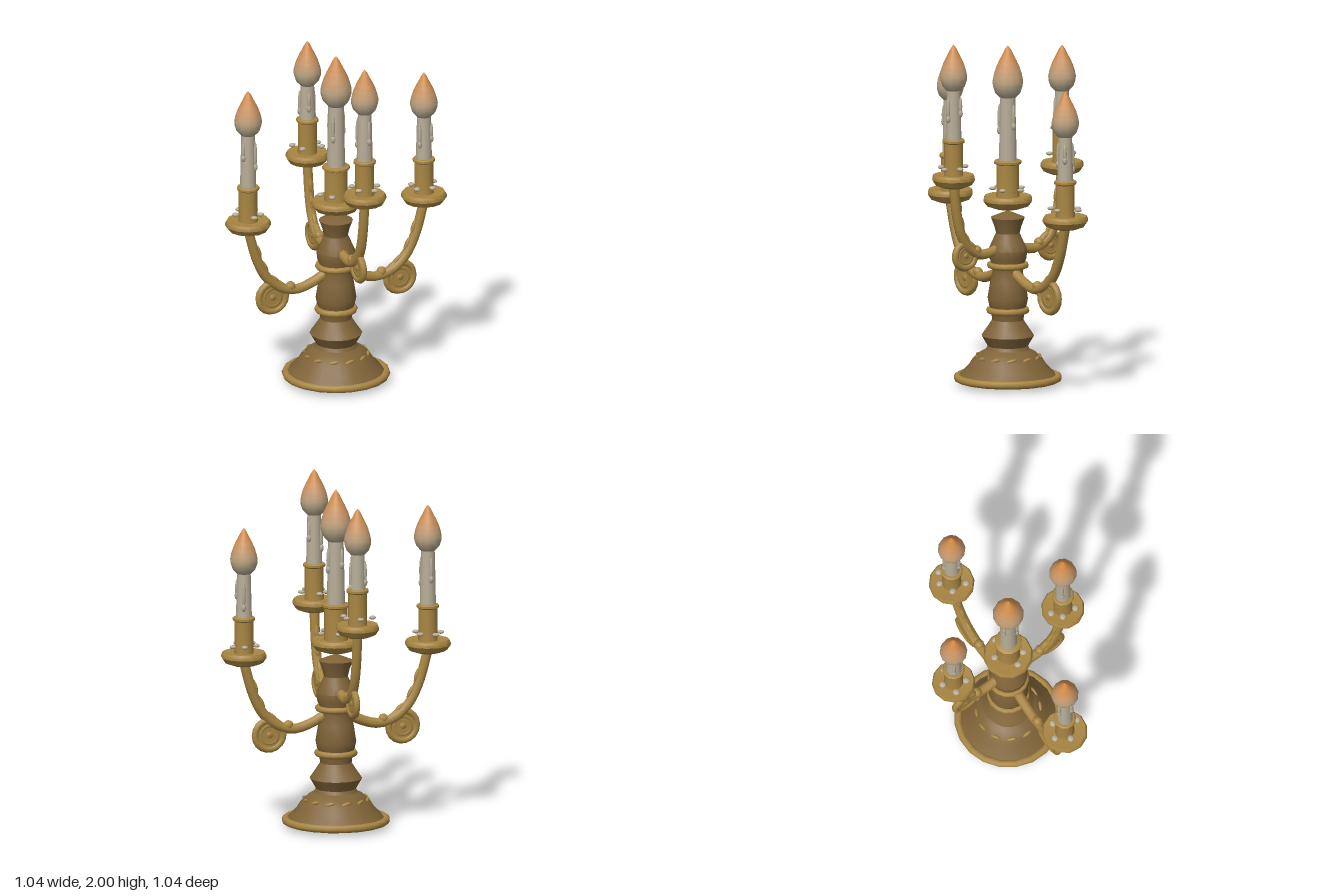
import * as THREE from 'three';
import { toCreasedNormals } from 'three/addons/utils/BufferGeometryUtils.js';

const mat = (color) => new THREE.MeshStandardMaterial({ color });
const BRASS = mat(0xa88642), BRONZE = mat(0x7f6338), WAX = mat(0xb8ae98);
const FLAME_LOW = new THREE.Color(0xb8ac90), FLAME_HIGH = new THREE.Color(0xd28a45);

function add(parent, name, geometry, material, x = 0, y = 0, z = 0) {
  const mesh = new THREE.Mesh(geometry, material);
  mesh.name = name;
  mesh.position.set(x, y, z);
  parent.add(mesh);
  return mesh;
}
const smoothLathe = (pts, sides) =>
  new THREE.LatheGeometry(pts.map(([r, y]) => new THREE.Vector2(r, y)), sides);
const lathe = (pts, sides) => toCreasedNormals(smoothLathe(pts, sides), 0.6);
const blob = (sx, sy, sz) => new THREE.SphereGeometry(1, 8, 6).scale(sx, sy, sz);

function ring(parent, name, y, radius, tube, sides = 16) {
  add(parent, name, new THREE.TorusGeometry(radius, tube, 8, sides).rotateX(Math.PI / 2), BRASS, 0, y);
}

// Teardrop flame, fading from pale wax to orange in bands that share smooth normals
function makeFlame(parent, y, s) {
  const flame = new THREE.Group();
  flame.name = 'flame';
  flame.position.y = y;
  flame.scale.setScalar(s);
  parent.add(flame);
  const profile = [[0, 0], [0.042, 0.006], [0.066, 0.032], [0.077, 0.065], [0.079, 0.09], [0.073, 0.12],
    [0.062, 0.155], [0.046, 0.19], [0.03, 0.22], [0.015, 0.25], [0, 0.27]];
  const whole = smoothLathe(profile, 12);
  const bands = profile.length - 1;
  const index = Array.from(whole.index.array);
  for (let b = 0; b < bands; b++) {
    const band = whole.clone();
    band.setIndex(index.filter((v, i) => Math.floor(i / 6) % bands === b));
    const t = THREE.MathUtils.smoothstep(b / (bands - 1), 0.1, 0.95);
    add(flame, 'flameBand', band, mat(FLAME_LOW.clone().lerp(FLAME_HIGH, t)));
  }
}

// Drip pan, socket, candle and flame; y is the underside of the pan
function makeCandle(parent, { x, y, z, pan, socket, flameBase, s, turn }) {
  const g = new THREE.Group();
  g.name = 'candleHolder';
  g.position.set(x, y, z);
  g.rotation.y = turn;
  parent.add(g);

  add(g, 'dripPan', lathe([[0, 0], [pan * 0.5, 0], [pan * 0.84, 0.016], [pan, 0.046], [pan * 0.99, 0.062],
    [pan * 0.93, 0.076], [pan * 0.5, 0.07], [0, 0.07]], 12), BRASS);
  add(g, 'socket', lathe([[socket, 0.06], [socket * 0.95, 0.1], [socket * 0.95, 0.255], [socket * 1.13, 0.262],
    [socket * 1.13, 0.274], [socket, 0.28], [0, 0.28]], 12), BRASS);

  const top = flameBase - y + 0.015, r = 0.043 * s;
  add(g, 'candle', new THREE.CylinderGeometry(r * 0.9, r * 1.08, top - 0.26, 12), WAX, 0, (top + 0.26) / 2);

  // Runs of wax down the candle
  [[0.4, 0.17], [2.3, 0.11], [4.2, 0.14]].forEach(([a, length]) => {
    add(g, 'waxRun', blob(0.011, length / 2, 0.011), WAX,
      Math.cos(a) * r, top - 0.045 - length / 2, Math.sin(a) * r);
    add(g, 'waxRunTip', blob(0.014, 0.024, 0.014), WAX,
      Math.cos(a) * r, top - 0.03 - length, Math.sin(a) * r);
  });
  // Beads of wax collected round the socket
  [0.3, 1.2, 2.9, 4.1, 5.3].forEach((a, i) => {
    const d = socket + 0.016 + (i % 2) * 0.012;
    add(g, 'waxBead', blob(0.021, 0.011, 0.019), WAX, Math.cos(a) * d, 0.115, Math.sin(a) * d);
  });
  makeFlame(g, flameBase - y, s);
}

// Curved arm reaching along its own +x, with scroll disc, knob and leaves
function makeArm(parent, angle, { path, disc, knob, leaves }) {
  const arm = new THREE.Group();
  arm.name = 'arm';
  arm.rotation.y = angle;
  parent.add(arm);
  const curve = new THREE.CatmullRomCurve3(path.map(([x, y]) => new THREE.Vector3(x, y, 0)));
  add(arm, 'armTube', new THREE.TubeGeometry(curve, 18, 0.029, 8), BRASS);

  const [dx, dy, r] = disc;
  const scroll = new THREE.Group();
  scroll.name = 'scroll';
  scroll.position.set(dx, dy, 0);
  arm.add(scroll);
  add(scroll, 'scrollRim', new THREE.TorusGeometry(r - 0.02, 0.02, 8, 18), BRASS);
  add(scroll, 'scrollPlate',
    toCreasedNormals(new THREE.CylinderGeometry(r - 0.02, r - 0.02, 0.022, 18).rotateX(Math.PI / 2), 0.6), BRASS);
  add(scroll, 'scrollInnerRing', new THREE.TorusGeometry(r * 0.5, 0.013, 6, 16), BRASS);
  add(scroll, 'scrollButton', blob(r * 0.25, r * 0.25, 0.018), BRASS);

  add(arm, 'knob', blob(0.03, 0.03, 0.03), BRASS, knob[0], knob[1], 0);
  leaves.forEach((t) => {
    const p = curve.getPointAt(t), d = curve.getTangentAt(t);
    const leaf = add(arm, 'armLeaf', blob(0.045, 0.012, 0.014), BRASS, p.x - d.y * 0.027, p.y + d.x * 0.027, 0);
    leaf.rotation.z = Math.atan2(d.y, d.x);
  });
}

export function createModel() {
  const model = new THREE.Group();
  model.name = 'candelabra';

  // Turned base and stem
  add(model, 'stem', lathe([[0, 0], [0.27, 0.02], [0.285, 0.045], [0.265, 0.07], [0.225, 0.11], [0.2, 0.15],
    [0.155, 0.19], [0.125, 0.205], [0.115, 0.225], [0.15, 0.285], [0.115, 0.335], [0.09, 0.375], [0.097, 0.43],
    [0.108, 0.46], [0.116, 0.5], [0.1, 0.6], [0.087, 0.65], [0.09, 0.69], [0.108, 0.735], [0.111, 0.78],
    [0.088, 0.83], [0.068, 0.875], [0.078, 0.915], [0.097, 0.965], [0, 1.005]], 16), BRONZE);
  ring(model, 'baseRim', 0.043, 0.287, 0.022, 20);
  ring(model, 'lowerCollar', 0.43, 0.105, 0.019);
  ring(model, 'upperCollar', 0.69, 0.102, 0.018);

  // Band of small leaves round the foot
  for (let i = 0; i < 12; i++) {
    const a = ((i + 0.5) / 12) * Math.PI * 2;
    const leaf = add(model, 'footLeaf', blob(0.01, 0.011, 0.032), BRASS,
      Math.cos(a) * 0.182, 0.163, Math.sin(a) * 0.182);
    leaf.rotation.set(0.25, -a, 0, 'YXZ');
  }

  const low = {
    path: [[0.05, 0.665], [0.14, 0.615], [0.25, 0.585], [0.35, 0.61], [0.44, 0.69], [0.5, 0.81], [0.55, 0.985]],
    disc: [0.4, 0.56, 0.105], knob: [0.285, 0.607], leaves: [0.5, 0.66, 0.8],
  };
  const high = {
    path: [[0.05, 0.8], [0.12, 0.775], [0.2, 0.77], [0.275, 0.81], [0.33, 0.9], [0.36, 1.02], [0.38, 1.185]],
    disc: [0.3, 0.773, 0.09], knob: [0.22, 0.797], leaves: [0.47, 0.64, 0.8],
  };
  const Q = Math.PI / 4;
  makeArm(model, Q, low);
  makeArm(model, -3 * Q, low);
  makeArm(model, -Q, high);
  makeArm(model, 3 * Q, high);

  // Candles: two on low arms, two on high arms, one on the stem
  const lowCup = { y: 0.975, pan: 0.131, socket: 0.057, s: 1 };
  const highCup = { y: 1.175, pan: 0.124, socket: 0.057, s: 1 };
  makeCandle(model, { ...lowCup, x: -0.39, z: 0.39, flameBase: 1.56, turn: 0.4 });
  makeCandle(model, { ...lowCup, x: 0.39, z: -0.39, flameBase: 1.5, turn: 2.4 });
  makeCandle(model, { ...highCup, x: -0.27, z: -0.27, flameBase: 1.65, turn: 1.3 });
  makeCandle(model, { ...highCup, x: 0.27, z: 0.27, flameBase: 1.73, turn: 3.6 });
  makeCandle(model, { x: 0, y: 1.015, z: 0, pan: 0.142, socket: 0.07, flameBase: 1.65, s: 1.13, turn: 5.1 });

  return model;
}
